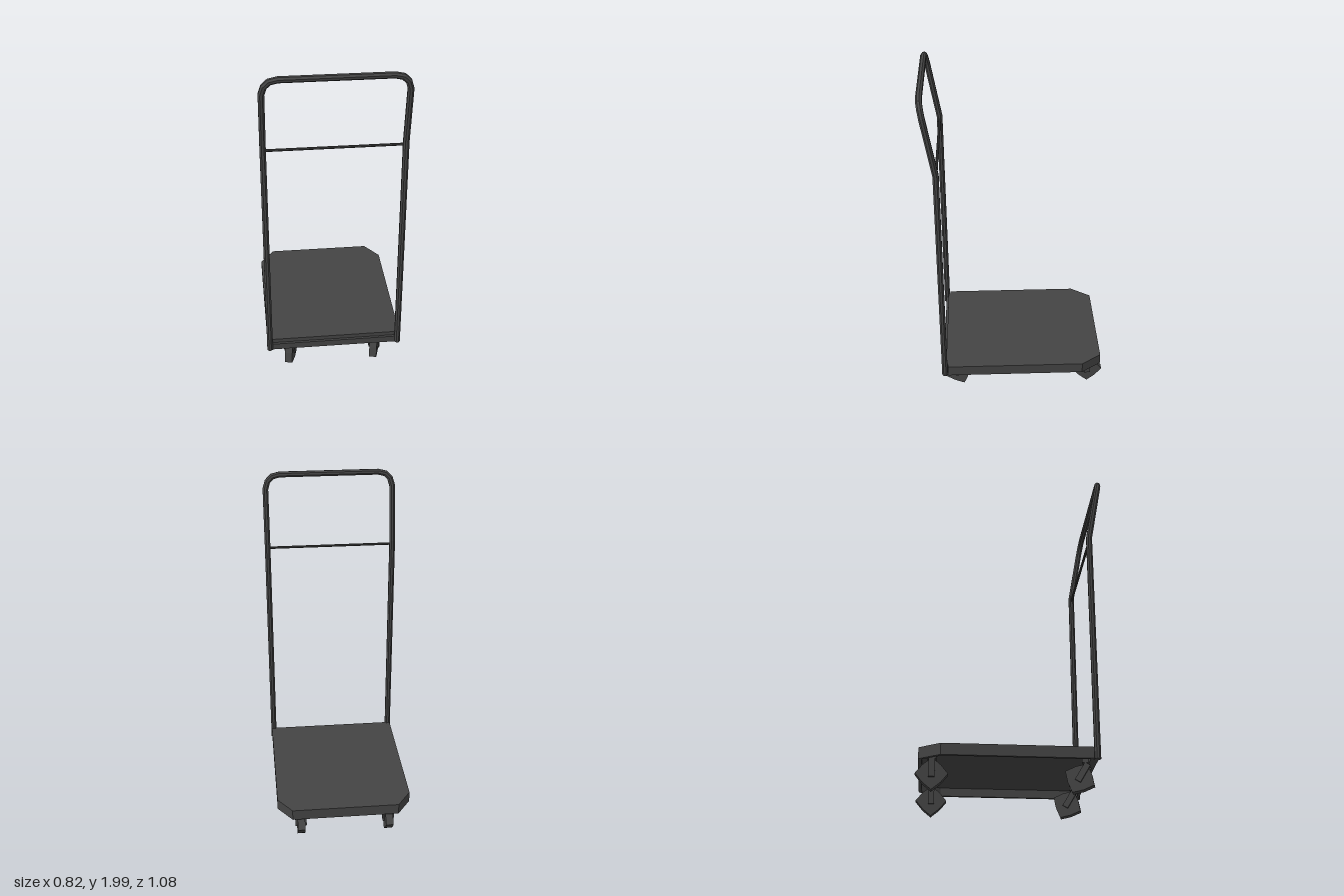
import * as THREE from 'three';

const metal = new THREE.MeshStandardMaterial({ color: 0x444444, flatShading: true });

function addMesh(parent, name, geometry, x = 0, y = 0, z = 0) {
  const mesh = new THREE.Mesh(geometry, metal);
  mesh.name = name;
  mesh.position.set(x, y, z);
  parent.add(mesh);
  return mesh;
}

// Tube with a polygon section and mitred joints along a list of points
function mitredTube(points, radius, sides) {
  const pos = [], index = [];
  const dirs = points.slice(1).map((p, i) => p.clone().sub(points[i]).normalize());
  let ring = [];
  for (let k = 0; k < sides; k++) {
    const a = (k + 0.5) / sides * Math.PI * 2;
    ring.push(new THREE.Vector3(Math.cos(a) * radius, 0, -Math.sin(a) * radius).add(points[0]));
  }
  points.forEach((p, i) => {
    if (i > 0) {
      const d = dirs[i - 1];
      const n = d.clone().add(dirs[i] || d).normalize();
      // slide every corner along the segment onto the mitre plane
      ring = ring.map(v => v.clone().addScaledVector(d, p.clone().sub(v).dot(n) / d.dot(n)));
    }
    ring.forEach(v => pos.push(v.x, v.y, v.z));
    if (i > 0) for (let k = 0; k < sides; k++) {
      const a = (i - 1) * sides + k, b = (i - 1) * sides + (k + 1) % sides;
      index.push(a, b, b + sides, a, b + sides, a + sides);
    }
  });
  // end caps
  const last = (points.length - 1) * sides;
  for (let k = 1; k < sides - 1; k++) {
    index.push(0, k + 1, k, last, last + k, last + k + 1);
  }
  const g = new THREE.BufferGeometry();
  g.setAttribute('position', new THREE.Float32BufferAttribute(pos, 3));
  g.setIndex(index);
  g.computeVertexNormals();
  return g;
}

// Deck outline, drawn with shape y = -z
function deckOutline(inset, Type) {
  const w = 0.405 - inset, back = 0.52 - inset, front = -0.43 + inset;
  return new Type([
    [-w, front], [w, front], [w, 0.4 - inset * 0.5], [0.32 - inset * 0.5, back],
    [-0.32 + inset * 0.5, back], [-w, 0.4 - inset * 0.5],
  ].map(([x, y]) => new THREE.Vector2(x, y)));
}

function extrudeUp(shape, depth) {
  return new THREE.ExtrudeGeometry(shape, { depth, bevelEnabled: false }).rotateX(-Math.PI / 2);
}

// Wheel between two fork arms, hung from a small plate
function makeCaster(name, roll, tilt, swivel) {
  const caster = new THREE.Group();
  caster.name = name;
  const corners = [];
  for (let i = 0; i < 8; i++) {
    const a = i / 8 * Math.PI * 2 + roll, r = i % 2 ? 0.07 : 0.09;
    corners.push(new THREE.Vector2(Math.cos(a) * r, Math.sin(a) * r));
  }
  const wheel = new THREE.ExtrudeGeometry(new THREE.Shape(corners), { depth: 0.045, bevelEnabled: false });
  wheel.translate(0, 0, -0.0225).rotateY(Math.PI / 2);
  addMesh(caster, 'wheel', wheel);
  const fork = new THREE.Group();
  fork.name = 'fork';
  fork.rotation.x = tilt;
  for (const s of [-1, 1]) {
    addMesh(fork, 'forkArm', new THREE.BoxGeometry(0.012, 0.11, 0.035), s * 0.028, 0.035, 0);
  }
  caster.add(fork);
  addMesh(caster, 'mountingPlate', new THREE.BoxGeometry(0.068, 0.035, 0.05), 0, 0.1, 0.08 * Math.sin(tilt));
  caster.rotation.y = swivel;
  return caster;
}

export function createModel() {
  const model = new THREE.Group();
  model.name = 'platformTrolley';

  // Hollow deck: rim, top plate and front lip
  const rim = deckOutline(0, THREE.Shape);
  rim.holes.push(deckOutline(0.018, THREE.Path));
  addMesh(model, 'deckRim', extrudeUp(rim, 0.05), 0, 0.17, 0);
  addMesh(model, 'deckPlate', extrudeUp(deckOutline(0, THREE.Shape), 0.015), 0, 0.22, 0);
  addMesh(model, 'frontLip', new THREE.BoxGeometry(0.76, 0.04, 0.03), 0, 0.19, 0.44);
  addMesh(model, 'frontLipStep', new THREE.BoxGeometry(0.76, 0.025, 0.015), 0, 0.2225, 0.4325);

  // Push handle: one bent tube, its right half mirrored from the left
  const half = [
    [0.392, 0.17, 0.45], [0.392, 1.56, 0.45], [0.392, 1.9, 0.51],
    [0.378, 1.945, 0.518], [0.35, 1.973, 0.523], [0.305, 1.984, 0.525],
  ];
  const path = [...half, ...half.map(([x, y, z]) => [-x, y, z]).reverse()];
  addMesh(model, 'handle', mitredTube(path.map(p => new THREE.Vector3(...p)), 0.0185, 8));

  // Crossbar
  const bar = new THREE.CylinderGeometry(0.008, 0.008, 0.77, 8).rotateZ(Math.PI / 2);
  addMesh(model, 'crossbar', bar, 0, 1.54, 0.45);

  // Casters: back pair straight, front pair swivelled and trailing
  for (const s of [-1, 1]) {
    const back = makeCaster('backCaster', 0, 0, 0);
    back.position.set(s * 0.2675, 0.1, -0.445);
    const front = makeCaster('frontCaster', 0.5, 0.55, -0.25);
    front.position.set(s * 0.2625, 0.095, 0.37);
    model.add(back, front);
  }
  return model;
}
